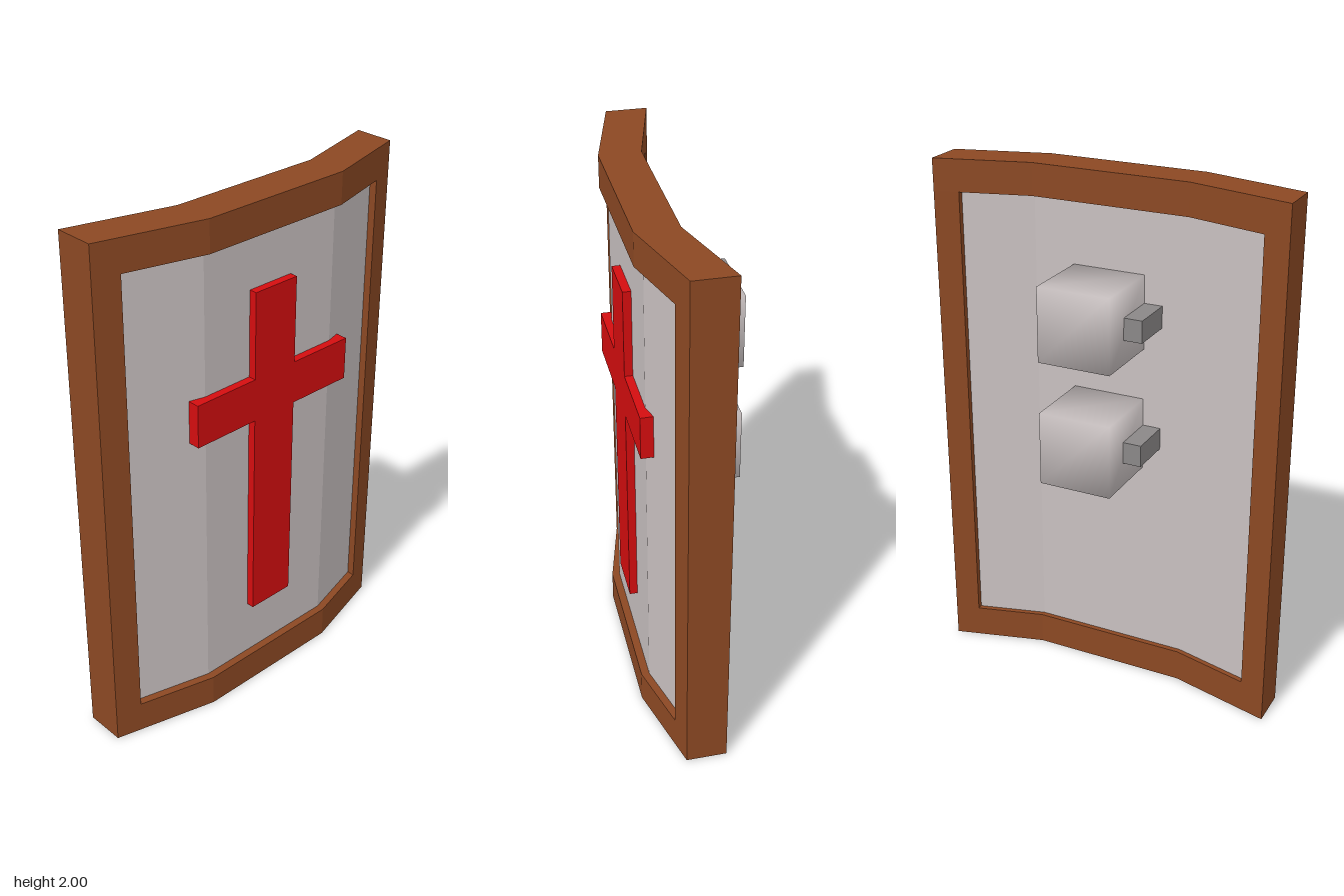
import * as THREE from 'three';
import { mergeVertices } from 'three/addons/utils/BufferGeometryUtils.js';

const material = (name, color) => {
  const m = new THREE.MeshStandardMaterial({ color });
  m.name = name;
  return m;
};

// Bent cross-section of the shield: [x, z] along the front, and its thickness
const BEND = [[-0.675, 0.105], [-0.28, 0.205], [0.325, 0.205], [0.675, 0.108]];
const THICK = 0.152;

function frontZ(x) {
  const i = x < BEND[1][0] ? 0 : x < BEND[2][0] ? 1 : 2;
  const [[ax, az], [bx, bz]] = [BEND[i], BEND[i + 1]];
  return az + ((bz - az) * (x - ax)) / (bx - ax);
}

// Slab following the bend between x0..x1 and y0..y1, inset from front and back
function bentSlab(x0, x1, y0, y1, insetFront = 0, insetBack = 0) {
  const xs = [x0, ...BEND.map((p) => p[0]).filter((x) => x > x0 && x < x1), x1];
  const front = xs.map((x) => new THREE.Vector2(x, -(frontZ(x) - insetFront)));
  const back = xs.map((x) => new THREE.Vector2(x, -(frontZ(x) - THICK + insetBack)));
  const shape = new THREE.Shape([...front, ...back.reverse()]);
  return new THREE.ExtrudeGeometry(shape, { depth: y1 - y0, bevelEnabled: false })
    .rotateX(-Math.PI / 2).translate(0, y0, 0);
}

// Box given by its limits on each axis
function box(x0, x1, y0, y1, z0, z1) {
  return new THREE.BoxGeometry(x1 - x0, y1 - y0, z1 - z0)
    .translate((x0 + x1) / 2, (y0 + y1) / 2, (z0 + z1) / 2);
}

// Box whose corners share one smooth normal
function softBox(...limits) {
  const g = box(...limits);
  g.deleteAttribute('normal');
  g.deleteAttribute('uv');
  const merged = mergeVertices(g);
  merged.computeVertexNormals();
  return merged;
}

export function createModel() {
  const wood = material('brown wood', 0x8b4823);
  const plate = material('pale metal', 0xc8c0c0);
  const red = material('red paint', 0xd40d0f);
  const iron = material('grey iron', 0x8a8787);

  const shield = new THREE.Group();
  shield.name = 'shield';
  const group = (name) => {
    const g = new THREE.Group();
    g.name = name;
    shield.add(g);
    return g;
  };
  const add = (parent, name, geometry, mat) => {
    const mesh = new THREE.Mesh(geometry, mat);
    mesh.name = name;
    parent.add(mesh);
  };

  // Wooden frame around the recessed plate
  const frame = group('frame');
  add(frame, 'bottomRail', bentSlab(-0.675, 0.675, 0, 0.125), wood);
  add(frame, 'topRail', bentSlab(-0.675, 0.675, 1.88, 2), wood);
  add(frame, 'rightStile', bentSlab(-0.675, -0.578, 0.125, 1.88), wood);
  add(frame, 'leftStile', bentSlab(0.585, 0.675, 0.125, 1.88), wood);
  add(shield, 'panel', bentSlab(-0.578, 0.585, 0.125, 1.88, 0.03, 0.02), plate);

  // Raised cross on the front
  const cross = group('cross');
  add(cross, 'upright', box(-0.075, 0.117, 0.355, 1.68, 0.15, 0.205), red);
  add(cross, 'rightArm', box(-0.34, -0.075, 1.185, 1.35, 0.14, 0.205), red);
  add(cross, 'leftArm', box(0.117, 0.383, 1.185, 1.35, 0.14, 0.205), red);

  // Two arm grips on the back, each held by a pair of brackets
  for (const [name, y] of [['upperGrip', 1.365], ['lowerGrip', 0.89]]) {
    const grip = group(name);
    add(grip, 'pad', softBox(-0.11, 0.17, y, y + 0.28, -0.207, 0.075), plate);
    add(grip, 'rightBracket', box(-0.18, -0.1, y + 0.092, y + 0.175, -0.095, 0.075), iron);
    add(grip, 'leftBracket', box(0.16, 0.228, y + 0.092, y + 0.175, -0.095, 0.075), iron);
  }
  return shield;
}
